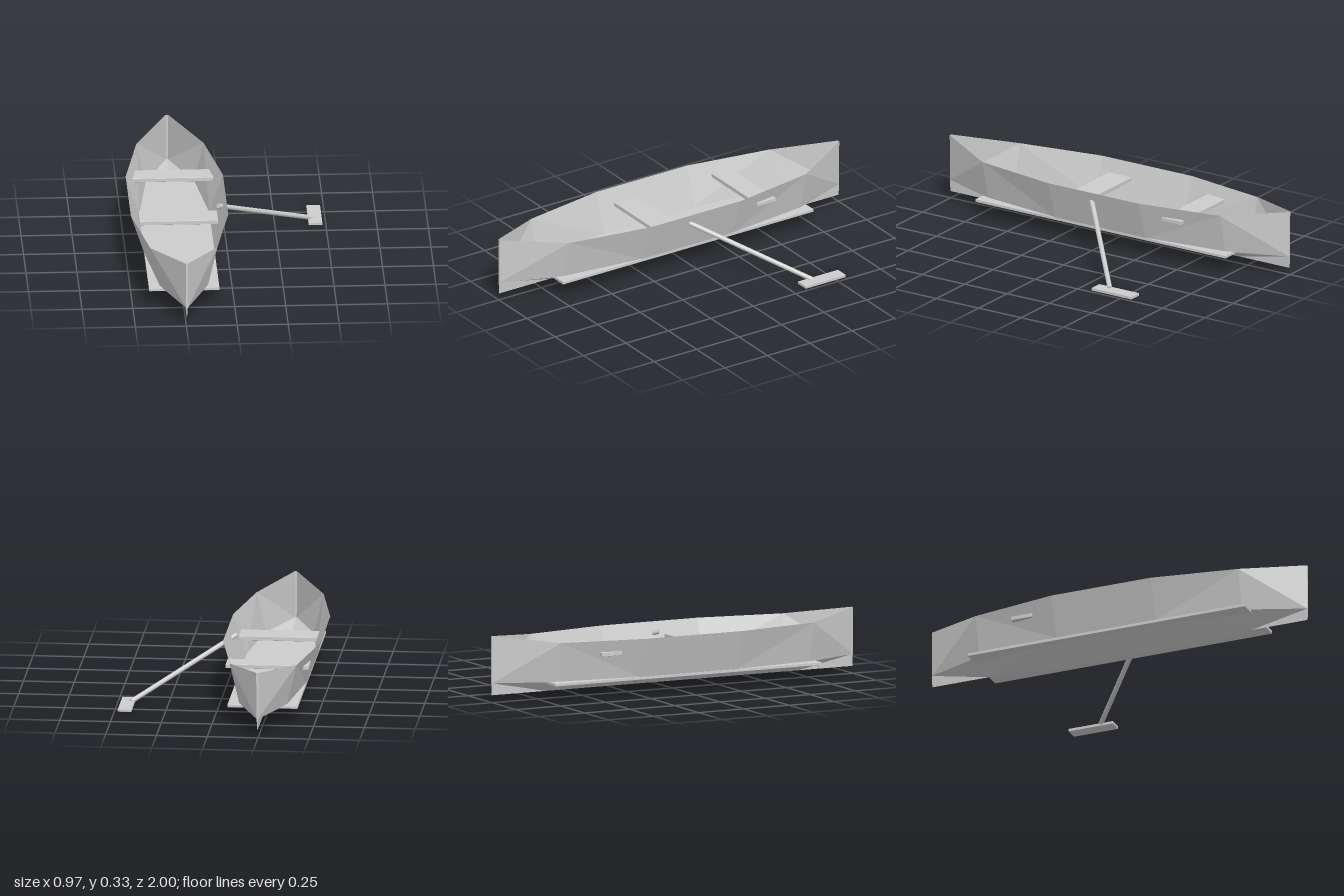
import * as THREE from 'three';
import { RoundedBoxGeometry } from 'three/addons/geometries/RoundedBoxGeometry.js';

const CX = -0.247; // centre line of the boat

export function createModel() {
  const group = new THREE.Group();
  group.name = 'rowingBoat';
  const wood = new THREE.MeshStandardMaterial({ color: 0xcccccc, side: THREE.DoubleSide });
  wood.name = 'plainGrey';

  const add = (name, geometry) => {
    const mesh = new THREE.Mesh(geometry, wood);
    mesh.name = name;
    group.add(mesh);
    return mesh;
  };
  // Board given by its extents
  const board = (name, x0, x1, y0, y1, z0, z1) => {
    const mesh = add(name, new RoundedBoxGeometry(x1 - x0, y1 - y0, z1 - z0, 1, 0.002));
    mesh.position.set((x0 + x1) / 2, (y0 + y1) / 2, (z0 + z1) / 2);
  };

  // Hull: one quarter from midships to stem, mirrored in x and z
  const sheer = [[0.239, 0.3, 0], [0.239, 0.3, 0.265], [0.165, 0.3, 0.7], [0.006, 0.333, 1]];
  const chine = [[0.172, 0.1, 0], [0.172, 0.1, 0.265], [0.118, 0.1, 0.7], [0.004, 0.1, 1]];
  const keel = [[0, 0.04, 0], [0, 0.04, 0.265], [0, 0.04, 0.7], [0, 0.1, 1]];
  const stemTop = [0, 0.333, 1], stemFoot = [0, 0.04, 1];
  const positions = [];
  for (const sx of [1, -1]) for (const sz of [1, -1]) {
    const tri = (a, b, c) => {
      const corners = sx * sz > 0 ? [a, b, c] : [a, c, b];
      for (const p of corners) positions.push(CX + sx * p[0], p[1], sz * p[2]);
    };
    for (let i = 0; i < 3; i++) {
      const [s0, s1, c0, c1, k0, k1] = [sheer[i], sheer[i + 1], chine[i], chine[i + 1], keel[i], keel[i + 1]];
      // side planks
      if (i < 2) {
        tri(c1, c0, s1);
        tri(c0, s0, s1);
      } else {
        tri(c1, c0, s0);
        tri(c1, s0, s1);
      }
      // bottom planks
      tri(k0, c0, k1);
      tri(c0, c1, k1);
    }
    // stem face and the small fin under each end
    tri(keel[3], chine[3], sheer[3]);
    tri(keel[3], sheer[3], stemTop);
    tri(keel[3], stemFoot, chine[3]);
    tri(chine[3], stemFoot, keel[2]);
  }
  const hull = new THREE.BufferGeometry();
  hull.setAttribute('position', new THREE.Float32BufferAttribute(positions, 3));
  hull.computeVertexNormals();
  add('hull', hull);

  // Floor and seats
  board('floor', -0.42, -0.074, 0.087, 0.102, -0.738, 0.738);
  board('backSeat', CX - 0.205, CX + 0.205, 0.222, 0.242, -0.495, -0.383);
  board('frontSeat', CX - 0.193, CX + 0.193, 0.222, 0.242, 0.06, 0.195);

  // Oar: slanting shaft with a flat blade
  const start = new THREE.Vector3(-0.045, 0.255, 0.034);
  const end = new THREE.Vector3(0.432, 0.016, -0.394);
  const dir = end.clone().sub(start);
  const shaft = add('oarShaft', new THREE.CylinderGeometry(0.012, 0.012, dir.length(), 16));
  shaft.position.copy(start).add(end).multiplyScalar(0.5);
  shaft.quaternion.setFromUnitVectors(new THREE.Vector3(0, 1, 0), dir.normalize());
  board('oarBlade', 0.415, 0.483, 0.004, 0.019, -0.556, -0.32);

  return group;
}
